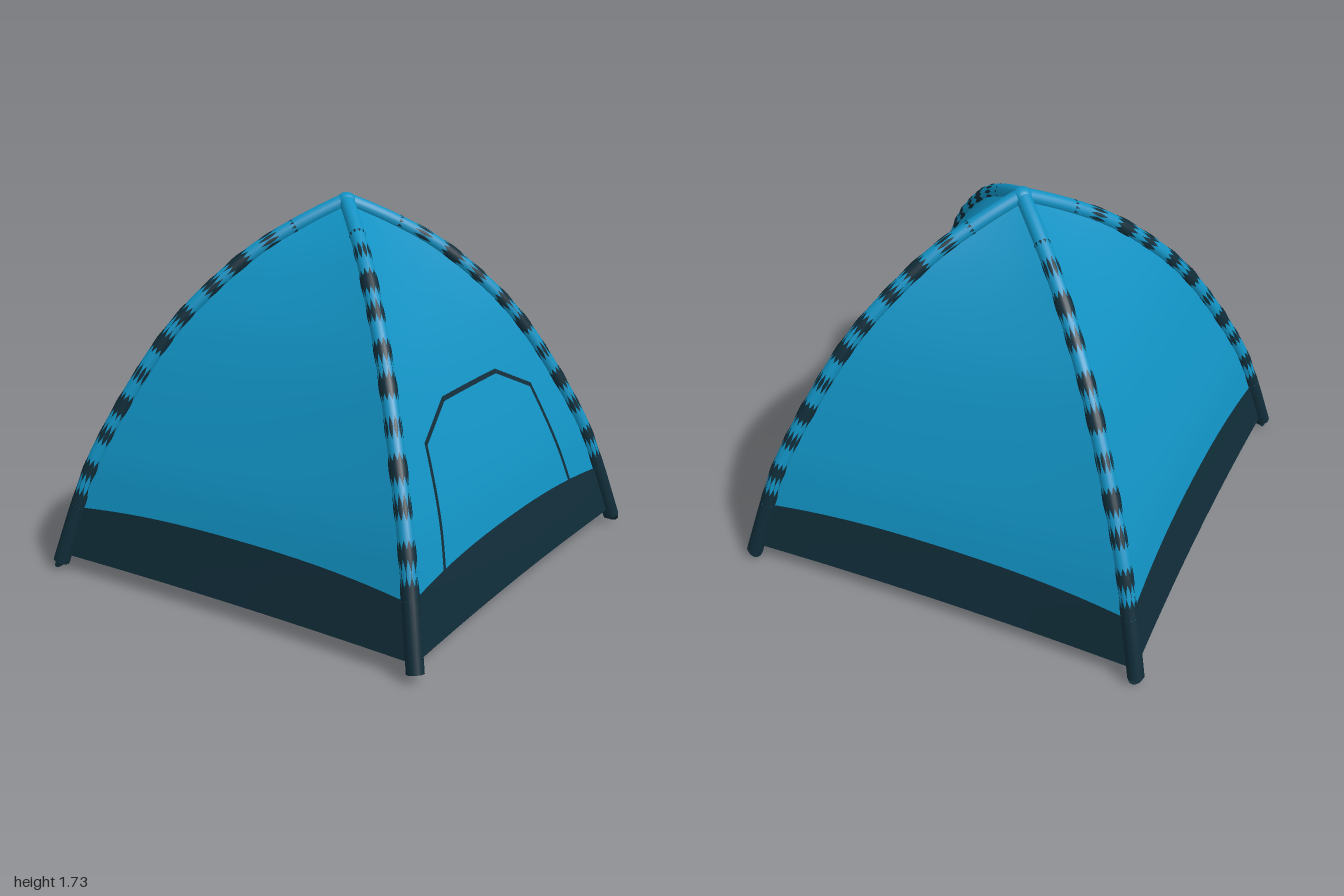
import * as THREE from 'three';

const BLUE = new THREE.MeshStandardMaterial({ color: 0x1191c2, side: THREE.DoubleSide });
const DARK = new THREE.MeshStandardMaterial({ color: 0x102c38, side: THREE.DoubleSide });
const FLOOR_Y = 0.05, APEX_Y = 1.67;

// Corner profile: half width of the tent (x) against height (y)
const profile = new THREE.CatmullRomCurve3([
  [0.968, 0], [0.895, 0.3], [0.84, 0.5], [0.72, 0.8], [0.605, 1.04],
  [0.5, 1.21], [0.3, 1.45], [0.14, 1.58], [0, APEX_Y],
].map(([w, y]) => new THREE.Vector3(w, y, 0)));

function halfWidth(y) {
  let lo = 0, hi = 1;
  for (let i = 0; i < 24; i++) {
    const mid = (lo + hi) / 2;
    if (profile.getPoint(mid).y < y) lo = mid; else hi = mid;
  }
  return profile.getPoint(lo).x;
}

// Point on the front fabric at height y, u = -1..1 across; the middle sags inwards
function fabric(y, u, lift = 0) {
  const w = halfWidth(y);
  const sag = 0.02 * Math.min(1, w / 0.3) * (1 - u * u);
  return [u * w, y, w - sag + lift];
}

// Smooth sheet from a function of (u, v) in 0..1
function sheet(nu, nv, fn) {
  const pos = [], index = [];
  for (let j = 0; j <= nv; j++) {
    for (let i = 0; i <= nu; i++) {
      pos.push(...fn(i / nu, j / nv));
      if (i < nu && j < nv) {
        const a = j * (nu + 1) + i, b = a + nu + 1;
        index.push(a, a + 1, b + 1, a, b + 1, b);
      }
    }
  }
  const g = new THREE.BufferGeometry();
  g.setAttribute('position', new THREE.Float32BufferAttribute(pos, 3));
  g.setIndex(index);
  g.computeVertexNormals();
  return g;
}

function add(parent, name, geometry, material) {
  const mesh = new THREE.Mesh(geometry, material);
  mesh.name = name;
  parent.add(mesh);
  return mesh;
}

// Path along the corner pole between two heights
function polePath(y0, y1) {
  const pts = [];
  for (let i = 0; i <= 24; i++) {
    const y = y0 + (y1 - y0) * i / 24, w = halfWidth(y);
    pts.push(new THREE.Vector3(w, y, w));
  }
  return new THREE.CatmullRomCurve3(pts);
}

// Dark pole that shows through its sleeve in jagged patches
function patchedPole(path, steps, sides) {
  const g = new THREE.TubeGeometry(path, steps, 0.035, sides);
  const p = g.attributes.position, n = g.attributes.normal;
  for (let k = 0; k < p.count; k++) {
    const i = Math.floor(k / (sides + 1)), j = k % (sides + 1);
    const wave = Math.sin(i * 0.42) + 0.5 * Math.sin(i * 0.17) + (j % 2 ? 0.7 : -0.7) - 0.1;
    const d = 0.0022 * wave;
    p.setXYZ(k, p.getX(k) + n.getX(k) * d, p.getY(k) + n.getY(k) * d, p.getZ(k) + n.getZ(k) * d);
  }
  return g;
}

// Doorway outline laid on the fabric, mitred at its bends
function doorTrim() {
  const pts = [[-0.605, 0.3], [-0.485, 0.79], [-0.24, 0.91], [0.24, 0.91], [0.485, 0.79], [0.605, 0.3]]
    .map(([x, y]) => new THREE.Vector2(x, y));
  const side = (a, b) => new THREE.Vector2(a.y - b.y, b.x - a.x).normalize();
  const miters = pts.map((p, i) => {
    const n0 = side(pts[Math.max(i - 1, 0)], pts[Math.max(i, 1)]);
    const n1 = side(pts[Math.min(i, 4)], pts[Math.min(i + 1, 5)]);
    const m = n0.clone().add(n1).normalize();
    return m.divideScalar(m.dot(n0));
  });
  return sheet(50, 1, (s, v) => {
    const i = Math.min(4, Math.floor(s * 5 + 1e-6)), f = s * 5 - i;
    const c = pts[i].clone().lerp(pts[i + 1], f);
    c.addScaledVector(miters[i].clone().lerp(miters[i + 1], f), (v - 0.5) * 0.02);
    return fabric(c.y, c.x / halfWidth(c.y), 0.005);
  });
}

export function createModel() {
  const tent = new THREE.Group();
  tent.name = 'domeTent';

  const panel = sheet(24, 40, (u, v) => fabric(FLOOR_Y + 0.01 + v * (APEX_Y - FLOOR_Y - 0.012), u * 2 - 1));
  const band = sheet(32, 8, (u, v) => {
    const s = u * 2 - 1, top = 0.322 - 0.045 * Math.pow(Math.abs(s), 2.5);
    return fabric(FLOOR_Y + v * (top - FLOOR_Y), s, 0.004);
  });
  const floor = sheet(24, 2, (u, v) => {
    const [x, y, z] = fabric(FLOOR_Y, u * 2 - 1, 0.003);
    return [x * (1 - v), y, z * (1 - v)];
  });

  const sleevePath = polePath(0.27, APEX_Y);
  const sleeve = new THREE.TubeGeometry(sleevePath, 60, 0.035, 20);
  const pole = patchedPole(polePath(0.27, 1.56), 150, 20);
  const bootPath = polePath(0.012, 0.285);
  const boot = new THREE.TubeGeometry(bootPath, 12, 0.038, 20);
  const bootCap = new THREE.CircleGeometry(0.038, 20);

  for (let k = 0; k < 4; k++) {
    const side = new THREE.Group();
    side.name = ['front', 'left', 'back', 'right'][k] + 'Side';
    side.rotation.y = k * Math.PI / 2;
    tent.add(side);
    add(side, 'wallPanel', panel, BLUE);
    add(side, 'lowerBand', band, DARK);
    add(side, 'groundSheet', floor, DARK);
    add(side, 'poleSleeve', sleeve, BLUE);
    add(side, 'pole', pole, DARK);
    add(side, 'cornerBoot', boot, DARK);
    const cap = add(side, 'bootCap', bootCap, DARK);
    cap.position.copy(bootPath.getPoint(0));
    cap.lookAt(cap.position.clone().sub(bootPath.getTangent(0)));
    // Doorway on the +x wall
    if (k === 1) add(side, 'doorTrim', doorTrim(), DARK);
  }

  // Rounded crown where the poles cross
  const crown = add(tent, 'crown', new THREE.SphereGeometry(0.045, 24, 16), BLUE);
  crown.scale.y = 0.8;
  crown.position.y = APEX_Y;
  return tent;
}
